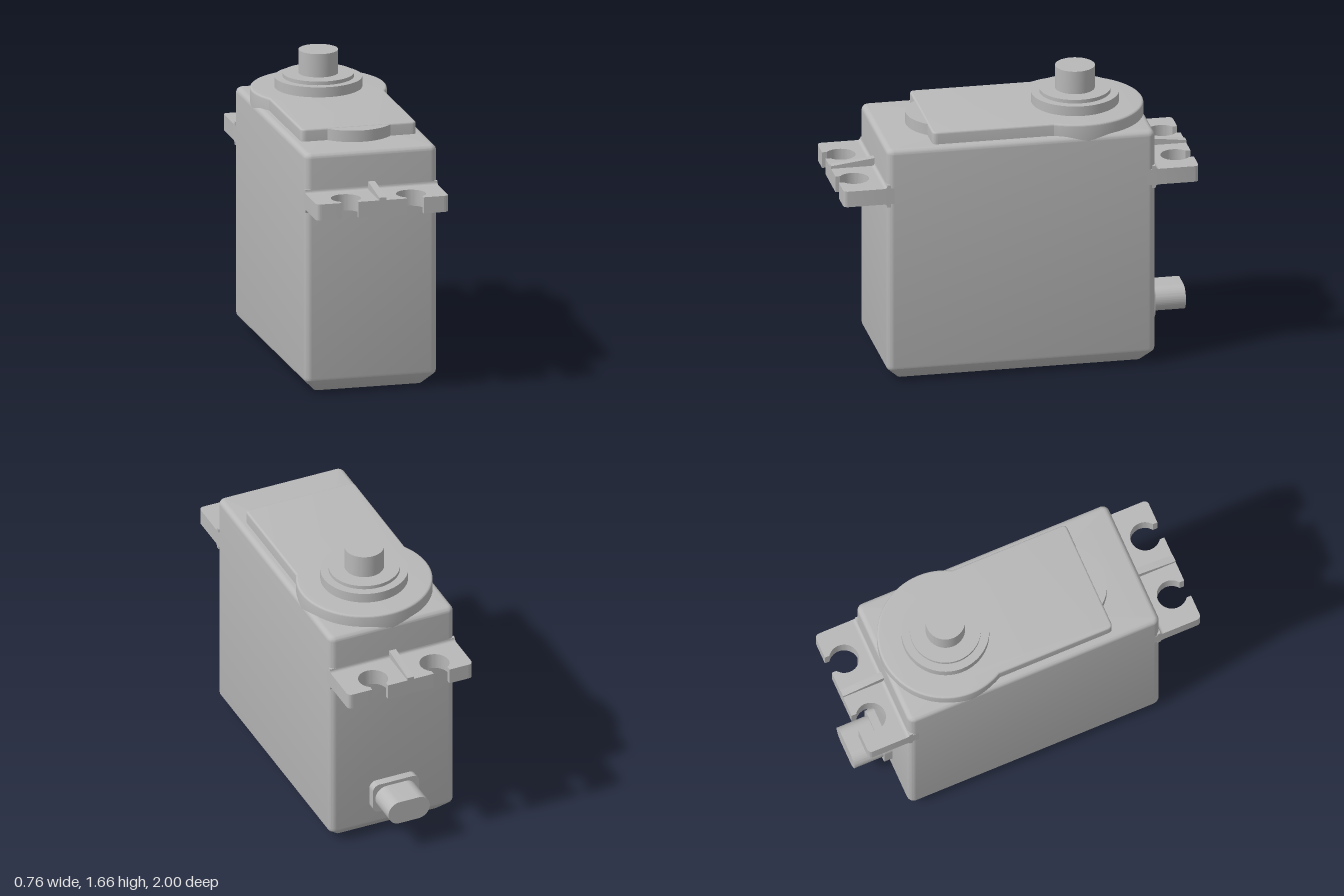
import * as THREE from 'three';
import { toCreasedNormals } from 'three/addons/utils/BufferGeometryUtils.js';

const W = 0.378, L = 0.755, AXIS_Z = -0.377;
const grey = new THREE.MeshStandardMaterial({ color: 0xb8b8b8 });
grey.name = 'grey plastic';

function part(name, geometry, parent) {
  const mesh = new THREE.Mesh(toCreasedNormals(geometry, 0.27), grey);
  mesh.name = name;
  parent.add(mesh);
  return mesh;
}

// Extrude a plan outline (x, z) between two heights, with optional rounded rims
function slab(shape, y0, y1, bevel = 0) {
  const g = new THREE.ExtrudeGeometry(shape, {
    depth: y1 - y0 - 2 * bevel, curveSegments: 24, bevelEnabled: bevel > 0,
    bevelSize: bevel, bevelThickness: bevel, bevelOffset: -bevel, bevelSegments: 6,
  });
  return g.rotateX(Math.PI / 2).translate(0, y1 - bevel, 0);
}

// Extrude a side outline (z, y) across the width
function across(shape, width) {
  const g = new THREE.ExtrudeGeometry(shape, { depth: width, bevelEnabled: false, curveSegments: 8 });
  return g.rotateY(-Math.PI / 2).translate(width / 2, 0, 0);
}

function disc(r, y0, y1, z) {
  return new THREE.CylinderGeometry(r, r, y1 - y0, 64).translate(0, (y0 + y1) / 2, z);
}

function roundedRect(w, h, r) {
  const s = new THREE.Shape(), a = w / 2 - r, b = h / 2 - r, q = Math.PI / 2;
  s.absarc(a, b, r, 0, q).absarc(-a, b, r, q, 2 * q);
  s.absarc(-a, -b, r, 2 * q, 3 * q).absarc(a, -b, r, 3 * q, 4 * q);
  return s;
}

// Stack of rounded rectangles: chamfered at the bottom, rounded at the top
function caseGeometry() {
  const rows = [[0, 0.085], [0.001, 0.078], [0.004, 0.073], [0.069, 0.008], [0.077, 0.003], [0.09, 0]];
  const R = 0.03, top = 1.375, steps = 8, n = 4 * (steps + 1);
  for (let i = 0; i <= steps; i++) {
    const a = i / steps * Math.PI / 2;
    rows.push([top - R + R * Math.sin(a), R * (1 - Math.cos(a))]);
  }
  const pos = [], index = [];
  for (const [y, inset] of rows) {
    const r = 0.04 - Math.min(inset, 0.03);
    for (let c = 0; c < 4; c++) for (let k = 0; k <= steps; k++) {
      const a = (c + k / steps) * Math.PI / 2;
      const sx = c === 0 || c === 3 ? 1 : -1, sz = c < 2 ? 1 : -1;
      pos.push(sx * (W - inset - r) + r * Math.cos(a), y, sz * (L - inset - r) + r * Math.sin(a));
    }
  }
  const last = (rows.length - 1) * n, bottomC = rows.length * n, topC = bottomC + 1;
  pos.push(0, 0, 0, 0, top, 0);
  for (let i = 0; i < n; i++) {
    const j = (i + 1) % n;
    for (let o = 0; o < last; o += n) {
      index.push(o + i, o + n + i, o + j, o + j, o + n + i, o + n + j);
    }
    index.push(bottomC, i, j, topC, last + j, last + i);
  }
  const g = new THREE.BufferGeometry();
  g.setAttribute('position', new THREE.Float32BufferAttribute(pos, 3));
  g.setIndex(index);
  return g;
}

// Mounting ear with two open keyhole slots
function earShape() {
  const s = new THREE.Shape(), r = 0.083, slot = 0.048, cz = 0.905, e = 0.03;
  const dz = Math.sqrt(r * r - slot * slot), a = Math.atan2(dz, slot);
  s.moveTo(-W, 0.7).lineTo(W, 0.7).lineTo(W, 1 - e);
  s.quadraticCurveTo(W, 1, W - e, 1);
  for (const cx of [0.186, -0.186]) {
    s.lineTo(cx + slot, 1).lineTo(cx + slot, cz + dz);
    s.absarc(cx, cz, r, a, Math.PI - a, true);
    s.lineTo(cx - slot, 1);
  }
  s.lineTo(-W + e, 1).quadraticCurveTo(-W, 1, -W, 1 - e);
  s.closePath();
  return s;
}

function makeEar(name) {
  const ear = new THREE.Group();
  ear.name = name;
  const y0 = 1.06, y1 = 1.152, f = 0.02;
  part('mountingEar', slab(earShape(), y0, y1), ear);

  // Sloping stiffener on top
  const rib = new THREE.Shape();
  rib.moveTo(0.72, 1.14).lineTo(1, 1.14).lineTo(1, 1.167).lineTo(L, 1.197).lineTo(0.72, 1.197);
  part('earRib', across(rib, 0.04), ear);

  // Small fillets where the ear meets the case
  const upper = new THREE.Shape();
  upper.moveTo(L - 0.02, y1).lineTo(L + f, y1).quadraticCurveTo(L, y1, L, y1 + f).lineTo(L - 0.02, y1 + f);
  part('upperFillet', across(upper, 2 * W), ear);
  const lower = new THREE.Shape();
  lower.moveTo(L - 0.02, y0 - f).lineTo(L, y0 - f).quadraticCurveTo(L, y0, L + f, y0).lineTo(L - 0.02, y0);
  part('lowerFillet', across(lower, 2 * W), ear);
  return ear;
}

export function createModel() {
  const model = new THREE.Group();
  model.name = 'servoMotor';
  part('case', caseGeometry(), model);

  // Front and back mounting ears
  const backEar = makeEar('backEar');
  backEar.rotation.y = Math.PI;
  model.add(makeEar('frontEar'), backEar);

  // Raised gear cover: round at the back, straight at the front
  const cover = new THREE.Shape(), half = 0.33, end = 0.49, c = 0.03;
  const a = Math.acos(half / W);
  cover.absarc(0, AXIS_Z, W, Math.PI - a, 2 * Math.PI + a);
  cover.lineTo(half, end - c).quadraticCurveTo(half, end, half - c, end);
  cover.lineTo(-half + c, end).quadraticCurveTo(-half, end, -half, end - c);
  cover.closePath();
  part('gearCover', slab(cover, 1.3, 1.445, 0.012), model);
  part('gearBulge', disc(0.233, 1.35, 1.44, 0.342), model);

  // Output bearing and shaft
  part('bearingCollar', disc(0.243, 1.43, 1.502, AXIS_Z), model);
  part('bearingRing', disc(0.197, 1.49, 1.523, AXIS_Z), model);
  part('outputShaft', disc(0.11, 1.51, 1.656, AXIS_Z), model);

  // Cable outlet at the back
  const outlet = (shape, z0, z1) => new THREE.ExtrudeGeometry(shape, {
    depth: z1 - z0, bevelEnabled: false, curveSegments: 16,
  }).translate(0, 0.26, z0);
  part('cableGrommet', outlet(roundedRect(0.28, 0.18, 0.04), -0.802, -0.74), model);
  part('cableStub', outlet(roundedRect(0.25, 0.14, 0.069), -0.977, -0.79), model);
  return model;
}
